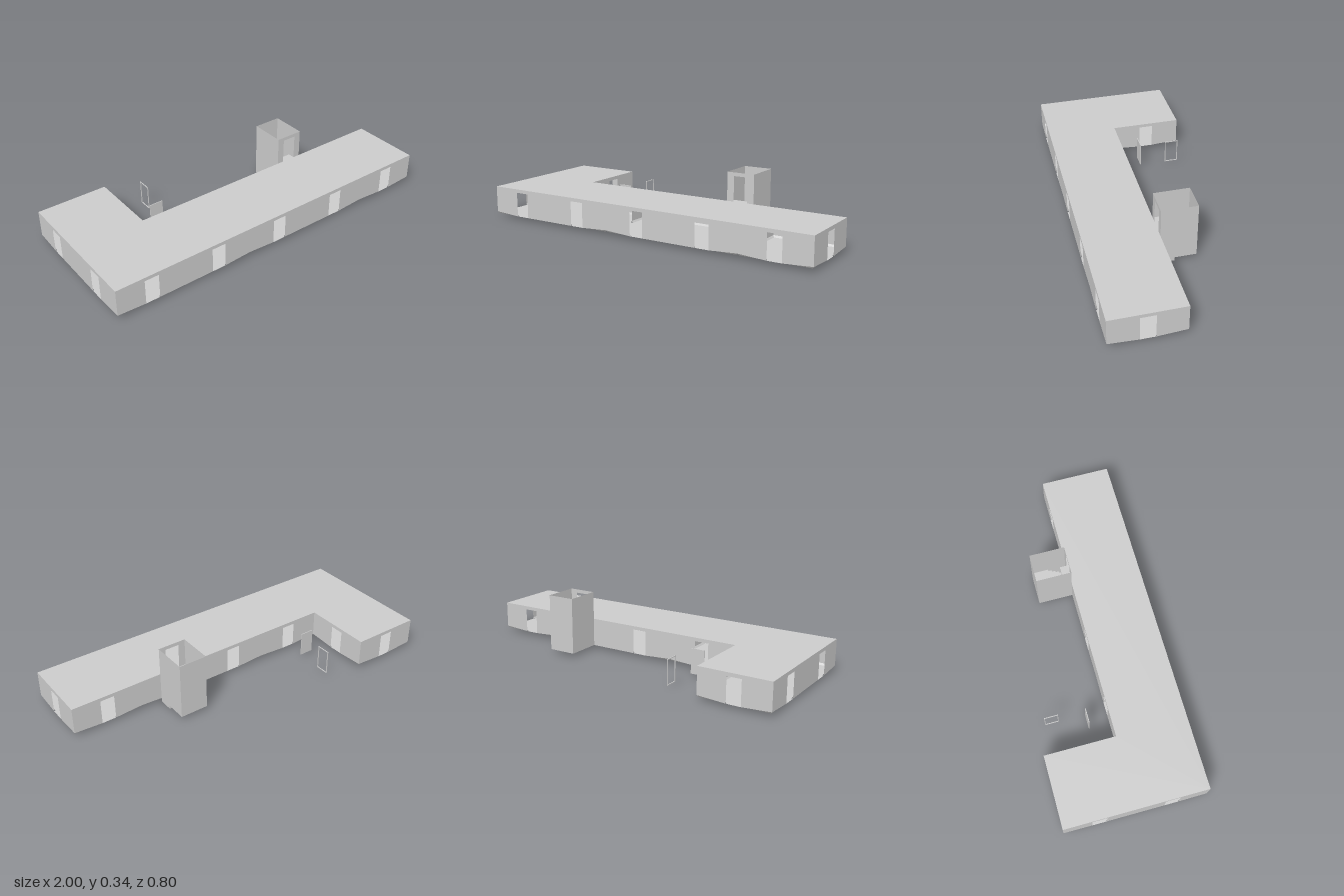
import * as THREE from 'three';

const mat = new THREE.MeshStandardMaterial({ color: 0xcccccc, side: THREE.DoubleSide, flatShading: true });
const FLOOR = 0.02, ROOF = 0.18, SKIRT = 0.03, INSET = 0.008;
const DOOR_W = 0.08, DOOR_TOP = 0.16, BAY = 0.4;

function add(parent, geometry, name) {
  const mesh = new THREE.Mesh(geometry, mat);
  mesh.name = name;
  parent.add(mesh);
  return mesh;
}

function box(parent, name, x0, x1, y0, y1, z0, z1) {
  const mesh = add(parent, new THREE.BoxGeometry(x1 - x0, y1 - y0, z1 - z0), name);
  mesh.position.set((x0 + x1) / 2, (y0 + y1) / 2, (z0 + z1) / 2);
  return mesh;
}

// Horizontal sheet from [x, z] outline
function slab(parent, name, outline, y) {
  const g = new THREE.ShapeGeometry(new THREE.Shape(outline.map(([x, z]) => new THREE.Vector2(x, -z))));
  add(parent, g.rotateX(-Math.PI / 2), name).position.y = y;
}

// Upright sheet from a to b with doorways centred at the given distances
function wall(parent, name, a, b, y0, y1, doors = [], doorY = y0, doorTop = DOOR_TOP) {
  const len = Math.hypot(b[0] - a[0], b[1] - a[1]);
  const pts = [[0, y0]];
  for (const d of doors) {
    const l = d - DOOR_W / 2, r = d + DOOR_W / 2;
    pts.push([l, doorY], [l, doorTop], [r, doorTop], [r, doorY]);
  }
  pts.push([len, y0], [len, y1], [0, y1]);
  const g = new THREE.ShapeGeometry(new THREE.Shape(pts.map(p => new THREE.Vector2(...p))));
  const mesh = add(parent, g, name);
  mesh.position.set(a[0], 0, a[1]);
  mesh.rotation.y = -Math.atan2(b[1] - a[1], b[0] - a[0]);
}

// Sloped skirt strip between two upper and two lower [x, z] points
function skirt(parent, u0, u1, l0, l1) {
  const p = (q, y) => [q[0], y, q[1]];
  const A = p(u0, SKIRT), B = p(u1, SKIRT), C = p(l1, FLOOR), D = p(l0, FLOOR);
  const g = new THREE.BufferGeometry();
  g.setAttribute('position', new THREE.Float32BufferAttribute([A, B, C, A, C, D].flat(), 3));
  g.computeVertexNormals();
  add(parent, g, 'wallSkirt');
}

// A room: walls with one doorway per bay, inset floor and sloped skirts
function room(parent, outline, built) {
  const n = outline.length;
  const dirs = outline.map((a, i) => {
    const b = outline[(i + 1) % n], l = Math.hypot(b[0] - a[0], b[1] - a[1]);
    return [(b[0] - a[0]) / l, (b[1] - a[1]) / l, l];
  });
  const inner = outline.map(([x, z], i) => {
    const p = dirs[(i + n - 1) % n], q = dirs[i];
    return [x - (p[1] + q[1]) * INSET, z + (p[0] + q[0]) * INSET];
  });
  slab(parent, 'floor', inner, FLOOR);
  outline.forEach((a, i) => {
    const j = (i + 1) % n, b = outline[j], [dx, dz, len] = dirs[i];
    const doors = Array.from({ length: Math.round(len / BAY) }, (_, k) => (k + 0.5) * BAY);
    const at = (t, inset) => [a[0] + dx * t - dz * inset, a[1] + dz * t + dx * inset];
    // Partitions shared by two rooms are built once
    const key = [a[0] + b[0], a[1] + b[1]].map(v => v.toFixed(2)).join();
    if (!built.has(key)) wall(parent, 'wall', a, b, SKIRT, ROOF, doors, FLOOR);
    built.add(key);
    let start = 0, low = inner[i];
    for (const d of doors) {
      const l = d - DOOR_W / 2, r = d + DOOR_W / 2;
      skirt(parent, at(start, 0), at(l, 0), low, at(l, INSET));
      slab(parent, 'threshold', [at(l, 0), at(r, 0), at(r, INSET), at(l, INSET)], FLOOR);
      start = r;
      low = at(r, INSET);
    }
    skirt(parent, at(start, 0), b, low, inner[j]);
  });
}

function stairTower() {
  const g = new THREE.Group();
  g.name = 'stairTower';
  const x0 = 0.32, x1 = 0.48, mid = 0.4, back = -0.2, top = 0.34;
  wall(g, 'towerSide', [x0, back], [x0, 0], FLOOR, top);
  wall(g, 'towerSide', [x1, back], [x1, 0], FLOOR, top);
  wall(g, 'towerBack', [x0, back], [x1, back], FLOOR, top);
  wall(g, 'towerFront', [x0, 0], [x1, 0], ROOF, top, [0.08], ROOF, 0.32);
  slab(g, 'towerFloor', [[x0, back], [x1, back], [x1, -0.08], [x0, -0.08]], FLOOR);
  // Landings
  box(g, 'entryLanding', 0.36, x1, 0, FLOOR, -0.08, 0);
  box(g, 'middleLanding', x0, x1, 0.08, 0.1, back, -0.125);
  box(g, 'roofLanding', x0, 0.44, 0.16, ROOF, -0.04, 0);
  // Two opposed flights
  const run = 0.085 / 4;
  for (let i = 0; i < 4; i++) {
    const z = -0.04 - i * run;
    const up = FLOOR + 0.02 * (i + 1), down = ROOF - 0.02 * i;
    box(g, 'lowerStep', mid, x1, Math.max(up - 0.04, 0), up, z - run, z);
    box(g, 'upperStep', x0, mid, down - 0.04, down - 0.02, z - run, z);
  }
  return g;
}

export function createModel() {
  const model = new THREE.Group();
  model.name = 'building';
  const rooms = new THREE.Group();
  rooms.name = 'rooms';
  model.add(rooms);
  const built = new Set();
  const rect = (a, b) => [[a, 0], [b, 0], [b, 0.4], [a, 0.4]];
  const corner = [[-1, -0.4], [-0.6, -0.4], [-0.6, 0], [-0.2, 0], [-0.2, 0.4], [-1, 0.4]];
  for (const r of [corner, rect(-0.2, 0.6), rect(0.6, 1)]) room(rooms, r, built);
  slab(model, 'roof', [[-1, -0.4], [-0.6, -0.4], [-0.6, 0], [1, 0], [1, 0.4], [-1, 0.4]], ROOF);
  model.add(stairTower());

  // Loose door leaf and door frame in the yard
  box(model, 'doorLeaf', -0.484, -0.404, FLOOR, 0.16, -0.119, -0.115);
  const frame = new THREE.Group();
  frame.name = 'doorFrame';
  model.add(frame);
  const t = 0.004, fx0 = -0.402, fx1 = -0.398, z0 = -0.348, z1 = -0.27;
  for (const z of [z0, z1 - t]) box(frame, 'framePost', fx0, fx1, FLOOR, 0.161, z, z + t);
  for (const y of [FLOOR, 0.157]) box(frame, 'frameRail', fx0, fx1, y, y + t, z0 + t, z1 - t);
  return model;
}
